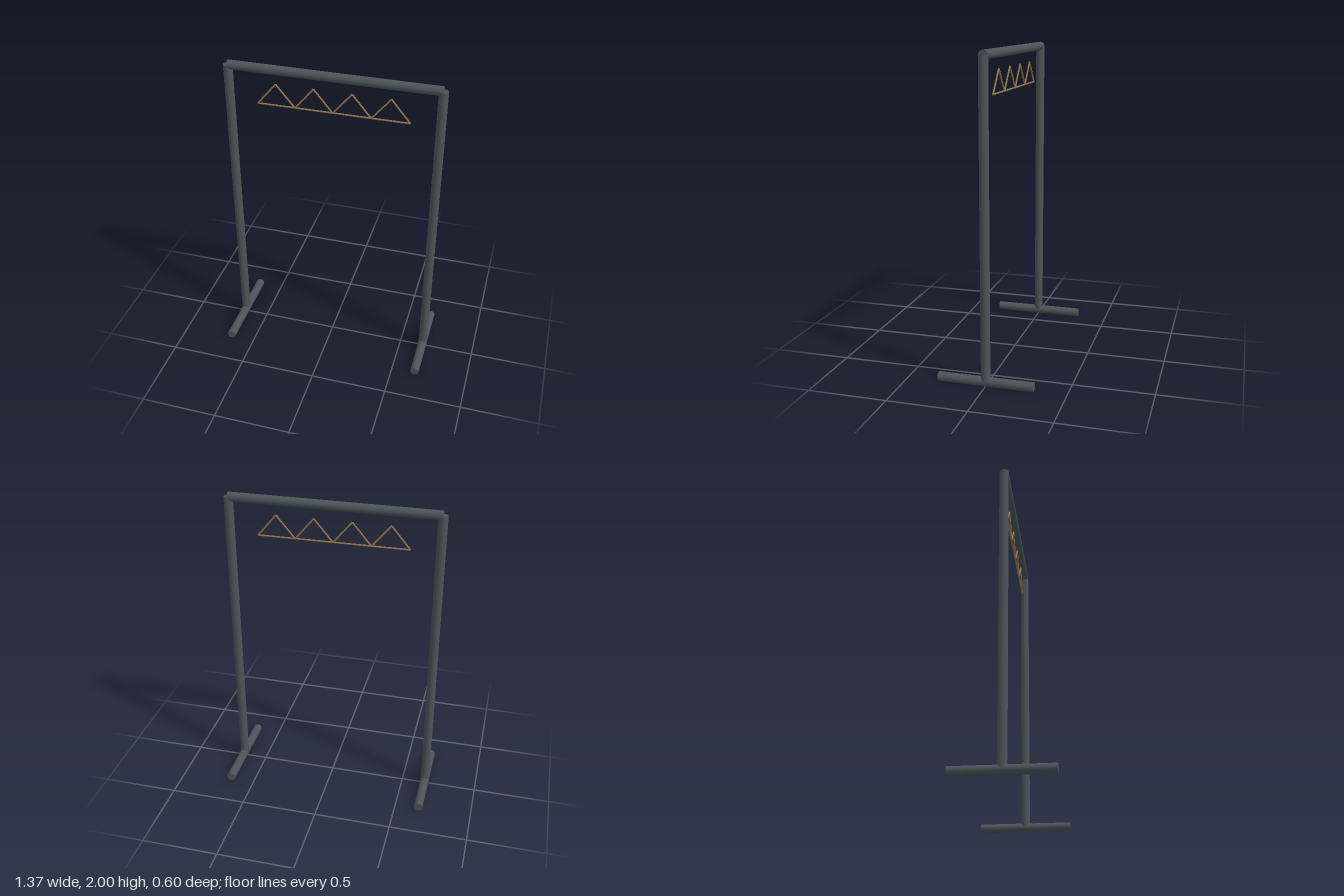
import * as THREE from 'three';

const steel = new THREE.MeshStandardMaterial({ color: 0x4b5559 });
steel.name = 'dark steel';
const wood = new THREE.MeshStandardMaterial({ color: 0x9a744e });
wood.name = 'tan wood';

// Straight round bar between two points
function bar(name, a, b, radius, sides, material) {
  const from = new THREE.Vector3(...a);
  const dir = new THREE.Vector3(...b).sub(from);
  const mesh = new THREE.Mesh(new THREE.CylinderGeometry(radius, radius, dir.length(), sides), material);
  mesh.position.copy(from).addScaledVector(dir, 0.5);
  mesh.quaternion.setFromUnitVectors(new THREE.Vector3(0, 1, 0), dir.normalize());
  mesh.name = name;
  return mesh;
}

export function createModel() {
  const model = new THREE.Group();
  model.name = 'clothesRack';
  const R = 0.029, X = 0.657, TOP = 2 - R;

  // Frame: a post and a floor foot on each side, joined by the rail
  for (const [side, s] of [['left', 1], ['right', -1]]) {
    model.add(bar(side + 'Post', [s * X, R, 0], [s * X, TOP, 0], R, 16, steel));
    model.add(bar(side + 'Foot', [s * X, R, -0.3], [s * X, R, 0.3], R, 16, steel));
  }
  model.add(bar('rail', [-X, TOP, 0], [X, TOP, 0], R, 16, steel));

  // Four triangular hangers in a row below the rail
  const r = 0.0055, half = 0.118, low = 1.736, high = 1.877;
  for (let i = 0; i < 4; i++) {
    const hanger = new THREE.Group();
    hanger.name = 'hanger' + (i + 1);
    hanger.position.x = -0.357 + i * 0.238;
    hanger.add(
      bar('leftShoulder', [half, low, 0], [0, high, 0], r, 8, wood),
      bar('rightShoulder', [-half, low, 0], [0, high, 0], r, 8, wood),
      bar('crossbar', [-half, low, 0], [half, low, 0], r, 8, wood)
    );
    model.add(hanger);
  }
  return model;
}
